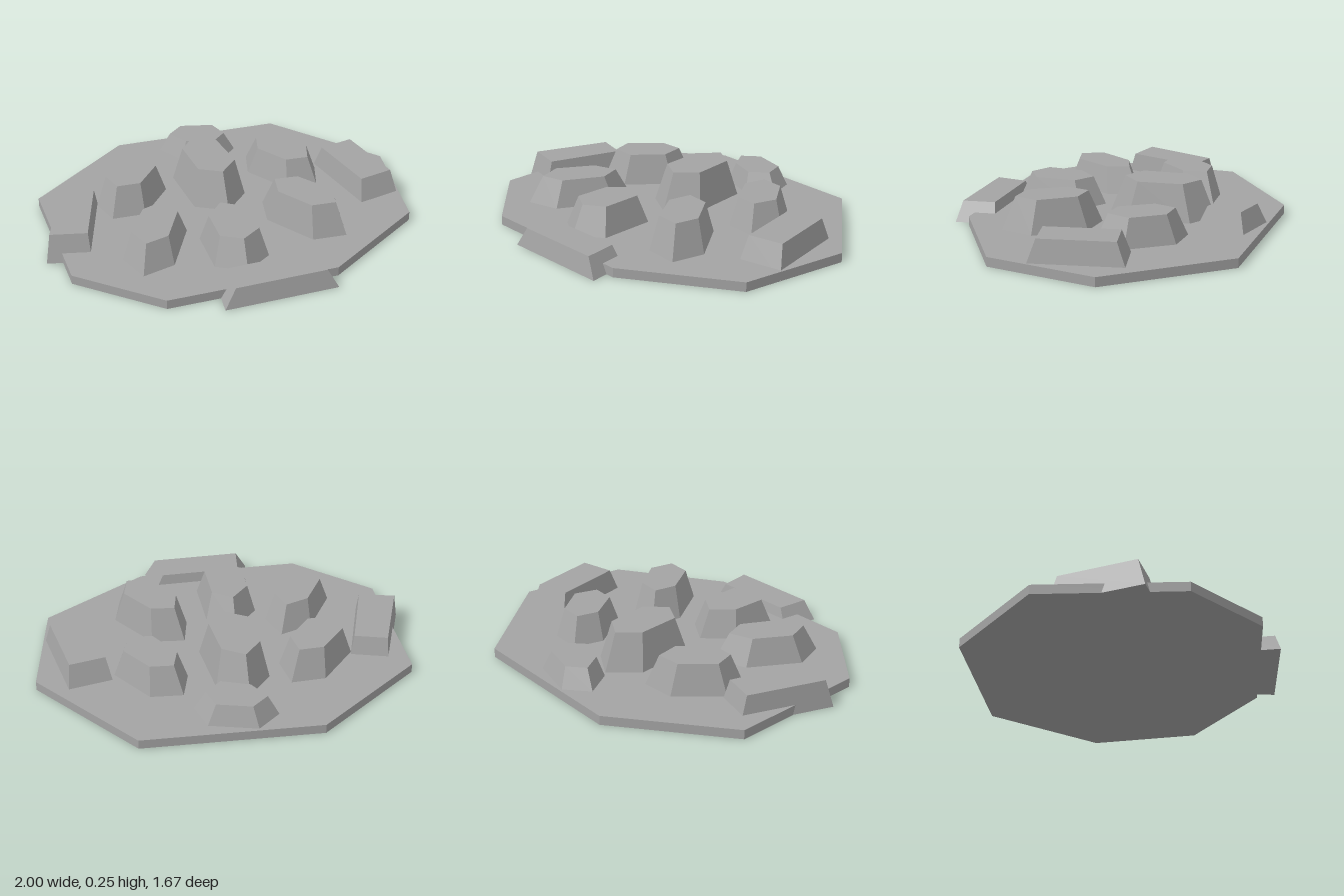
import * as THREE from 'three';

const stone = new THREE.MeshStandardMaterial({ color: 0xa3a3a3 });
stone.name = 'grey stone';

// Tapered prism: footprint [x, z] runs clockwise seen from above,
// the top is the same outline shrunk about its middle by `taper`.
function taperedPrism(name, outline, y0, y1, taper = 1, spread = 1) {
  const xs = outline.map(p => p[0]), zs = outline.map(p => p[1]);
  const cx = (Math.min(...xs) + Math.max(...xs)) / 2;
  const cz = (Math.min(...zs) + Math.max(...zs)) / 2;
  const ring = (s, y) => outline.map(([x, z]) => [cx + (x - cx) * s, y, cz + (z - cz) * s]);
  const low = ring(spread, y0), high = ring(taper, y1);
  const n = outline.length, pos = [];
  const tri = (a, b, c) => pos.push(...a, ...b, ...c);
  for (let i = 0; i < n; i++) {
    const j = (i + 1) % n;
    tri(low[i], high[i], high[j]);
    tri(low[i], high[j], low[j]);
    if (i > 0 && i < n - 1) {
      tri(high[0], high[j], high[i]);
      tri(low[0], low[i], low[j]);
    }
  }
  const geo = new THREE.BufferGeometry();
  geo.setAttribute('position', new THREE.Float32BufferAttribute(pos, 3));
  geo.computeVertexNormals(); // unshared corners give flat faces
  const mesh = new THREE.Mesh(geo, stone);
  mesh.name = name;
  return mesh;
}

export function createModel() {
  const group = new THREE.Group();
  group.name = 'rockPlatform';
  const FLOOR = 0.05;

  // Irregular eight-sided slab
  group.add(taperedPrism('baseSlab', [
    [-0.44, -0.8], [0.49, -0.84], [1, -0.31], [0.95, 0.29],
    [0.42, 0.685], [-0.48, 0.75], [-0.9, 0.43], [-0.97, -0.33],
  ], 0, FLOOR));

  // Six-sided rocks standing on the slab: name, top height, footprint
  const rocks = [
    ['backRock', 0.155, [[-0.22, -0.69], [-0.107, -0.8], [0.144, -0.754], [0.203, -0.604], [0.09, -0.487], [-0.118, -0.545]]],
    ['centreRock', 0.25, [[-0.209, -0.369], [-0.091, -0.524], [0.075, -0.439], [0.139, -0.112], [0.011, 0.037], [-0.16, -0.043]]],
    ['backRightRock', 0.214, [[-0.668, -0.187], [-0.497, -0.412], [-0.316, -0.433], [-0.273, -0.257], [-0.433, -0.037], [-0.61, -0.032]]],
    ['frontRightRock', 0.195, [[-0.626, 0.353], [-0.492, 0.086], [-0.321, 0.011], [-0.251, 0.171], [-0.38, 0.465], [-0.551, 0.524]]],
    ['frontRock', 0.2, [[-0.203, 0.262], [-0.08, 0.107], [0.075, 0.193], [0.107, 0.497], [-0.032, 0.604], [-0.187, 0.529]]],
    ['frontLeftRock', 0.225, [[0.187, 0.176], [0.209, 0], [0.385, 0.005], [0.578, 0.235], [0.551, 0.417], [0.369, 0.417]]],
    ['backLeftRock', 0.2, [[0.214, -0.326], [0.246, -0.492], [0.417, -0.492], [0.594, -0.283], [0.551, -0.107], [0.38, -0.107]]],
  ];
  for (const [name, top, outline] of rocks) {
    group.add(taperedPrism(name, outline, FLOOR, top, 0.72));
  }

  // Four-sided blocks reaching down to the ground at the rim
  group.add(taperedPrism('rightRimBlock',
    [[-0.861, -0.262], [-0.655, -0.219], [-0.77, 0.262], [-1, 0.225]], 0, 0.15, 0.84));
  group.add(taperedPrism('leftRimBlock',
    [[0.604, -0.326], [0.829, -0.39], [0.957, 0.07], [0.733, 0.134]], 0, 0.17, 0.82, 1.075));
  group.add(taperedPrism('frontRimBlock',
    [[-0.2, 0.615], [0.345, 0.568], [0.393, 0.782], [-0.207, 0.832]], 0, 0.105, 0.8));

  return group;
}
